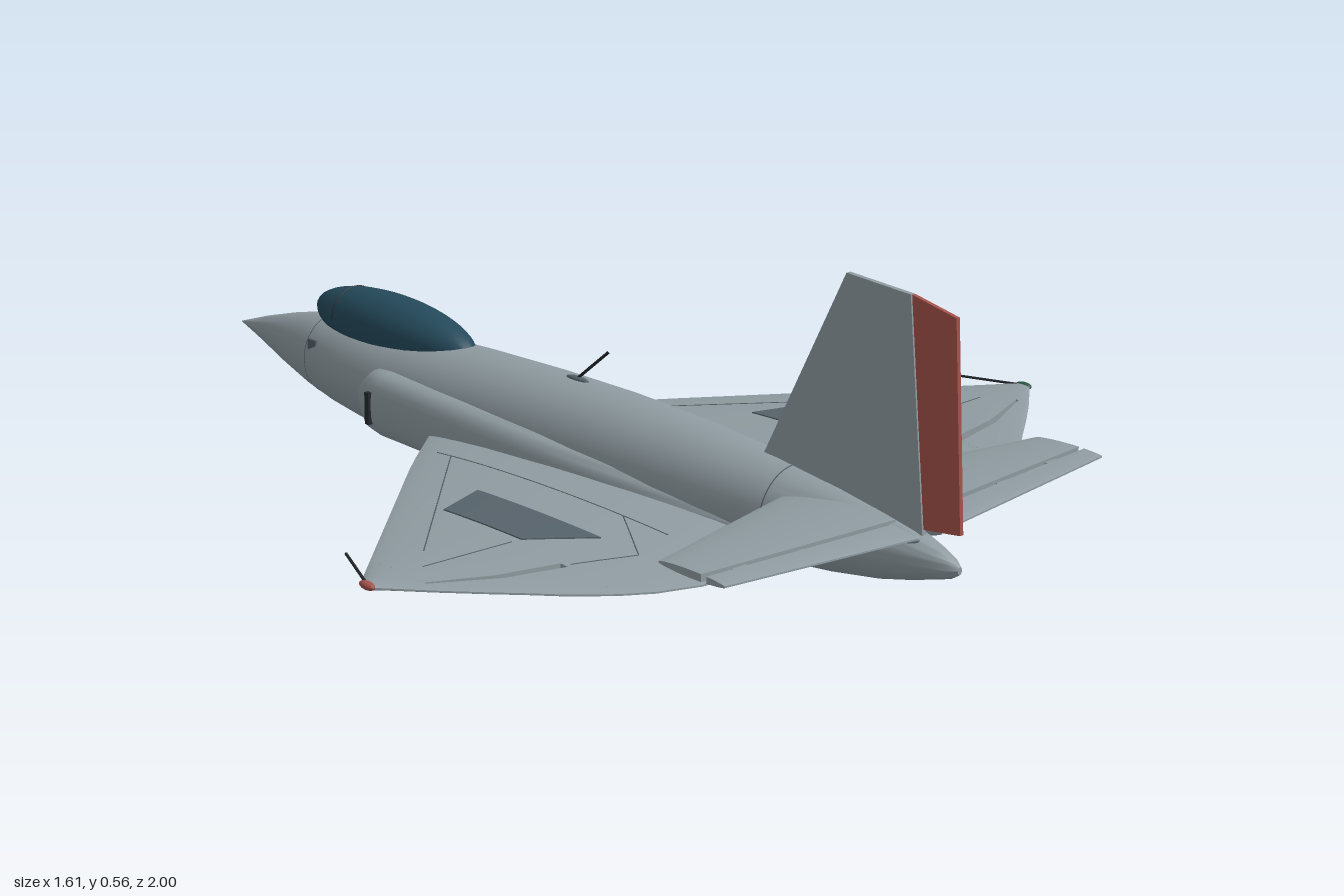
import * as THREE from 'three';
import { toCreasedNormals } from 'three/addons/utils/BufferGeometryUtils.js';

const mat = (color) => new THREE.MeshStandardMaterial({ color });
const SKIN = mat(0x8f9ba1), DARK = mat(0x56626a), BLACK = mat(0x23282b);
const GLASS = mat(0x24495a), RED = mat(0xa3524a), GREEN = mat(0x2c5a48);

const V = (x, y, z) => new THREE.Vector3(x, y, z);

// Piecewise linear lookup in [[key, value], ...]
function at(table, k) {
  if (k <= table[0][0]) return table[0][1];
  for (let i = 1; i < table.length; i++) {
    const [a, va] = table[i - 1], [b, vb] = table[i];
    if (k <= b) return va + (vb - va) * (k - a) / (b - a);
  }
  return table[table.length - 1][1];
}

// Closed solid through a row of rings, always facing outwards
function loft(rings) {
  const n = rings[0].length, pts = rings.flat(), idx = [];
  for (let r = 0; r < rings.length - 1; r++)
    for (let i = 0; i < n; i++) {
      const a = r * n + i, b = r * n + (i + 1) % n;
      idx.push(a, b, a + n, b, b + n, a + n);
    }
  [0, rings.length - 1].forEach((r, end) => {
    const c = pts.length;
    pts.push(rings[r].reduce((s, p) => s.add(p), V(0, 0, 0)).divideScalar(n));
    for (let i = 0; i < n; i++) {
      const a = r * n + i, b = r * n + (i + 1) % n;
      idx.push(...(end ? [c, a, b] : [c, b, a]));
    }
  });
  let volume = 0;
  for (let i = 0; i < idx.length; i += 3)
    volume += pts[idx[i]].dot(V(0, 0, 0).crossVectors(pts[idx[i + 1]], pts[idx[i + 2]]));
  if (volume < 0) idx.reverse();
  const g = new THREE.BufferGeometry().setFromPoints(pts);
  g.setIndex(idx);
  return toCreasedNormals(g, 0.7);
}

// Ring in the xy plane; power below 1 makes it boxier
function ring(cx, cy, rx, ry, z, power = 1, n = 40) {
  const f = (v) => Math.sign(v) * Math.abs(v) ** power;
  return Array.from({ length: n }, (_, i) => {
    const a = i / n * Math.PI * 2;
    return V(cx + rx * f(Math.cos(a)), cy + ry * f(Math.sin(a)), z);
  });
}

// Wing-like surface: leading edge, trailing edge, middle height and half thickness along x
const wing = {
  le: [[0.06, -0.25], [0.15, -0.16], [0.3, -0.02], [0.8, 0.49]],
  te: [[0.06, 0.72], [0.2, 0.745], [0.33, 0.755], [0.42, 0.745], [0.48, 0.725], [0.55, 0.69], [0.6, 0.655], [0.7, 0.59], [0.8, 0.515]],
  mid: [[0.06, 0.082], [0.8, 0.155]],
  half: [[0.06, 0.027], [0.8, 0.004]],
};
const tail = {
  le: [[0.02, 0.655], [0.46, 0.79]],
  te: [[0.02, 0.945], [0.46, 0.93]],
  mid: [[0.02, 0.167], [0.46, 0.192]],
  half: [[0.02, 0.014], [0.46, 0.005]],
};
function surfaceY(foil, x, z, side) {
  const le = at(foil.le, x), te = at(foil.te, x);
  const t = THREE.MathUtils.clamp((z - le) / (te - le), 0, 1);
  return at(foil.mid, x) + side * (0.0015 + at(foil.half, x) * (4 * t * (1 - t)) ** 0.75);
}
// Panel of a foil between two edges, over the stations xs
function panel(foil, s, xs, front, back) {
  const n = 14;
  return loft(xs.map((x) => {
    const a = at(front, x), b = at(back, x), top = [], low = [];
    for (let i = 0; i <= n; i++) {
      const z = a + (b - a) * (1 - Math.cos(i / n * Math.PI)) / 2;
      top.push(V(s * x, surfaceY(foil, x, z, 1), z));
      low.unshift(V(s * x, surfaceY(foil, x, z, -1), z));
    }
    return [...top, ...low];
  }));
}
const rod = (a, b, r) => new THREE.TubeGeometry(new THREE.LineCurve3(a, b), 1, r, 8);

// Upright plate from [z, y] corners, centred on x = 0
function plate(corners, width) {
  const shape = new THREE.Shape(corners.map(([z, y]) => new THREE.Vector2(z, y)));
  return new THREE.ExtrudeGeometry(shape, { depth: width, bevelEnabled: false })
    .rotateY(-Math.PI / 2).translate(width / 2, 0, 0);
}

export function createModel() {
  const model = new THREE.Group();
  const add = (name, geometry, material = SKIN) => {
    const mesh = new THREE.Mesh(geometry, material);
    mesh.name = name;
    model.add(mesh);
    return mesh;
  };

  // Fuselage: z, half width, bottom, top
  const body = [
    [-1, 0.001, 0.119, 0.121], [-0.95, 0.013, 0.107, 0.137], [-0.9, 0.025, 0.094, 0.153], [-0.8, 0.049, 0.066, 0.18],
    [-0.7, 0.071, 0.042, 0.202], [-0.6, 0.089, 0.026, 0.212], [-0.5, 0.103, 0.017, 0.217], [-0.4, 0.111, 0.011, 0.221],
    [-0.2, 0.116, 0.004, 0.229], [0, 0.116, 0, 0.234], [0.2, 0.113, 0.004, 0.234], [0.4, 0.104, 0.014, 0.227],
    [0.6, 0.088, 0.033, 0.212], [0.75, 0.07, 0.049, 0.193], [0.85, 0.054, 0.065, 0.176], [0.91, 0.04, 0.08, 0.164],
    [0.96, 0.025, 0.095, 0.148], [0.985, 0.015, 0.103, 0.138], [1, 0.005, 0.113, 0.127]];
  const hull = (z) => [1, 2, 3].map((k) => at(body.map((row) => [row[0], row[k]]), z));
  const hullRing = (z, grow = 0) => {
    const [w, low, top] = hull(z);
    return ring(0, (low + top) / 2, w + grow, (top - low) / 2 + grow, z);
  };
  add('fuselage', loft(body.map(([z]) => hullRing(z))));

  // Panel joints round the fuselage
  for (const z of [-0.66, 0.64])
    add('fuselageJoint', loft([hullRing(z - 0.001, 0.0008), hullRing(z + 0.001, 0.0008)]), DARK);

  // Canopy with one frame hoop
  const canopy = new THREE.SphereGeometry(1, 40, 24).scale(0.069, 0.069, 0.247);
  add('canopy', canopy.rotateX(0.025).translate(0, 0.217, -0.455), GLASS);
  const hoop = new THREE.TorusGeometry(0.0595, 0.0015, 6, 32, Math.PI);
  add('canopyFrame', hoop.translate(0, 0.2195, -0.585), BLACK);

  // Fin and rudder
  add('fin', plate([[0.55, 0.19], [0.575, 0.215], [0.745, 0.56], [0.88, 0.55], [0.925, 0.16], [0.8, 0.15]], 0.01));
  add('rudder', plate([[0.882, 0.55], [0.972, 0.53], [1, 0.18], [0.926, 0.17]], 0.008), RED);

  // Slanted aerial on the spine
  add('aerial', rod(V(0, 0.228, 0.085), V(0, 0.305, 0.18), 0.003), BLACK);
  add('aerialBase', new THREE.SphereGeometry(1, 16, 10).scale(0.008, 0.006, 0.03).translate(0, 0.234, 0.095), DARK);

  for (const s of [1, -1]) {
    // Side intake: z, outer x, bottom, top
    const duct = [
      [-0.435, 0.112, 0.095, 0.12], [-0.41, 0.128, 0.07, 0.148], [-0.38, 0.142, 0.045, 0.168], [-0.34, 0.147, 0.04, 0.171],
      [-0.1, 0.147, 0.037, 0.164], [0.1, 0.143, 0.037, 0.156], [0.3, 0.129, 0.042, 0.145], [0.45, 0.111, 0.05, 0.133],
      [0.65, 0.083, 0.07, 0.115]];
    add('sideIntake', loft(duct.map(([z, x, a, b]) =>
      ring(s * (x - 0.045), (a + b) / 2, 0.045, (b - a) / 2, z, 0.8, 32))));
    add('intakeSlot', new THREE.BoxGeometry(0.014, 0.065, 0.012).translate(s * 0.145, 0.103, -0.352), BLACK);
    add('nosePanel', new THREE.BoxGeometry(0.006, 0.022, 0.028).translate(s * 0.074, 0.158, -0.635), DARK);

    // Wing in four panels, leaving a tapering slot ahead of the flap
    const slotFront = [[0.48, 0.588], [0.6, 0.578], [0.72, 0.545]];
    const slotBack = [[0.48, 0.606], [0.6, 0.592], [0.72, 0.55]];
    const outer = [0.48, 0.52, 0.56, 0.6, 0.66, 0.72];
    add('innerWing', panel(wing, s, [0.06, 0.15, 0.2, 0.26, 0.33, 0.42, 0.48], wing.le, wing.te));
    add('outerWing', panel(wing, s, outer, wing.le, slotFront));
    add('wingFlap', panel(wing, s, outer, slotBack, wing.te));
    add('wingTip', panel(wing, s, [0.72, 0.75, 0.78, 0.8], wing.le, wing.te));

    // Tip lamp and forward probe
    add('tipLamp', new THREE.SphereGeometry(1, 14, 10).scale(0.008, 0.007, 0.018)
      .translate(s * 0.797, 0.156, 0.503), s > 0 ? GREEN : RED);
    add('tipProbe', rod(V(s * 0.793, 0.157, 0.495), V(s * 0.745, 0.159, 0.38), 0.0025), BLACK);

    // Dark walkway patch laid on the wing
    const inner = 0.34, outerX = 0.46;
    const patch = [0, 0.25, 0.5, 0.75, 1].map((k) => {
      const x = inner + (outerX - inner) * k, z0 = 0.215 + 0.055 * k, z1 = 0.53 - 0.06 * k, row = [], under = [];
      for (let i = 0; i <= 8; i++) {
        const z = z0 + (z1 - z0) * i / 8, y = surfaceY(wing, x, z, 1);
        row.push(V(s * x, y + 0.0022, z));
        under.unshift(V(s * x, y - 0.001, z));
      }
      return [...row, ...under];
    });
    add('wingPatch', loft(patch), DARK);

    // Panel lines following the wing surface
    for (const line of [[[0.225, -0.04], [0.225, 0.57]], [[0.225, 0.0], [0.63, 0.43]],
      [[0.225, 0.46], [0.34, 0.62], [0.47, 0.6]], [[0.48, 0.47], [0.68, 0.49]]]) {
      const points = [];
      line.slice(1).forEach(([x1, z1], k) => {
        const [x0, z0] = line[k];
        for (let i = k ? 1 : 0; i <= 12; i++) {
          const x = x0 + (x1 - x0) * i / 12, z = z0 + (z1 - z0) * i / 12;
          points.push(V(s * x, surfaceY(wing, x, z, 1), z));
        }
      });
      add('wingPanelLine', new THREE.TubeGeometry(new THREE.CatmullRomCurve3(points), 30, 0.0011, 4), DARK);
    }

    // Tailplane and elevator with a narrow hinge gap
    const span = [0.02, 0.12, 0.24, 0.36, 0.46];
    add('tailplane', panel(tail, s, span, tail.le, [[0, 0.881]]));
    add('elevator', panel(tail, s, [0.04, 0.12, 0.24, 0.36, 0.46], [[0, 0.892]], tail.te));
    for (const x of [0.12, 0.25, 0.38])
      add('elevatorHinge', new THREE.BoxGeometry(0.03, 0.006, 0.02).translate(s * x, at(tail.mid, x), 0.887));
    add('tailFairing', new THREE.SphereGeometry(1, 16, 12).scale(0.014, 0.014, 0.06).translate(s * 0.028, 0.162, 0.88));
  }
  return model;
}
